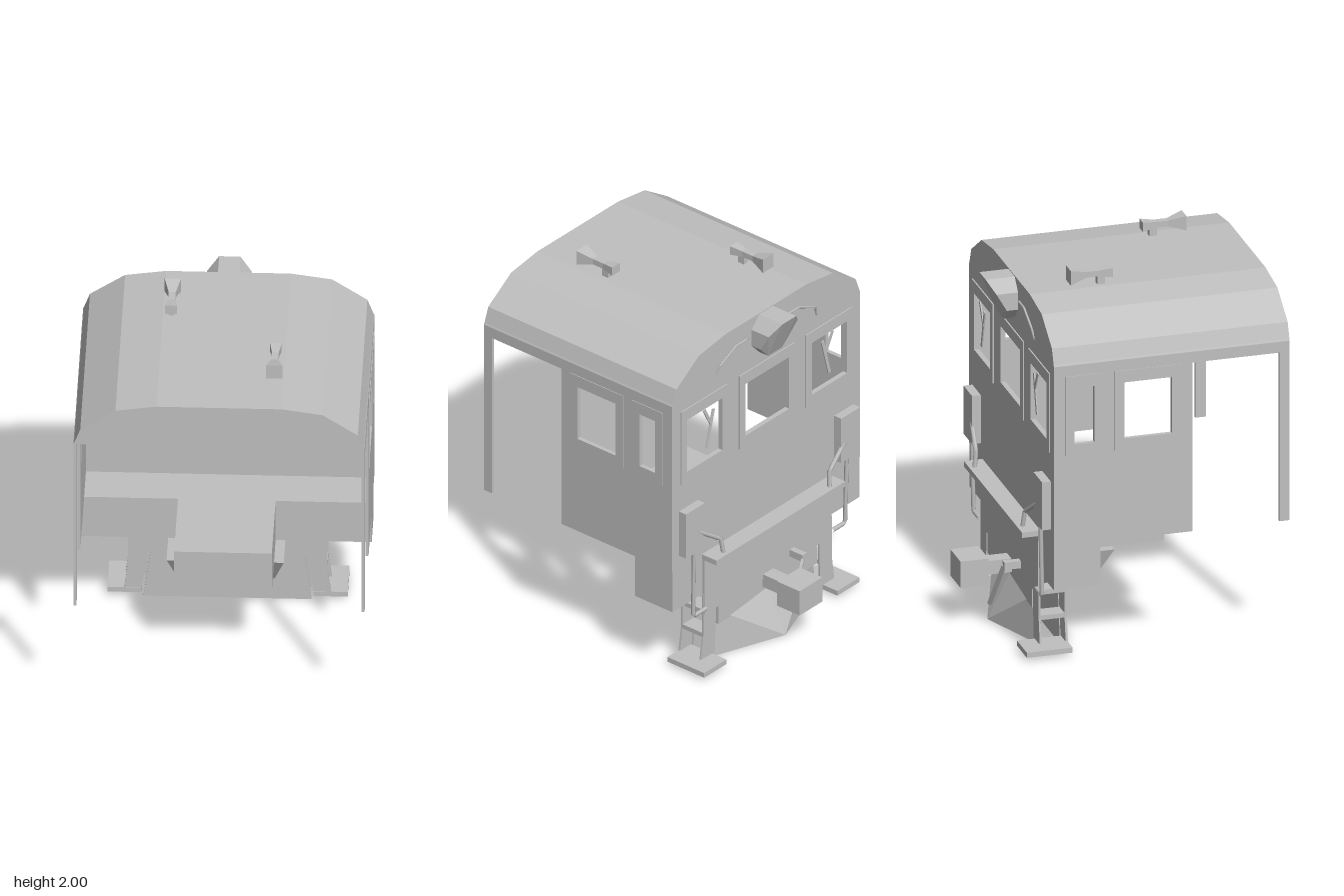
import * as THREE from 'three';
import { ConvexGeometry } from 'three/addons/geometries/ConvexGeometry.js';

export function createModel() {
  const model = new THREE.Group();
  model.name = 'locomotiveCab';
  const grey = new THREE.MeshStandardMaterial({ color: 0xc0c0c0 });
  grey.name = 'plain grey';

  const add = (name, geometry) => {
    const mesh = new THREE.Mesh(geometry, grey);
    mesh.name = name;
    model.add(mesh);
    return mesh;
  };
  // box given by its limits on each axis
  const box = (name, x0, x1, y0, y1, z0, z1) => {
    const g = new THREE.BoxGeometry(Math.abs(x1 - x0), y1 - y0, z1 - z0);
    return add(name, g.translate((x0 + x1) / 2, (y0 + y1) / 2, (z0 + z1) / 2));
  };
  const polygon = (pts) => new THREE.Shape(pts.map(([x, y]) => new THREE.Vector2(x, y)));
  const rect = (x0, x1, y0, y1) => [[x0, y0], [x1, y0], [x1, y1], [x0, y1]];
  // flat plate with holes, lying in the x-y plane from z0 to z0 + depth
  const plate = (pts, holes, depth, z0 = 0) => {
    const shape = polygon(pts);
    holes.forEach((h) => shape.holes.push(polygon(h)));
    return new THREE.ExtrudeGeometry(shape, { depth, bevelEnabled: false }).translate(0, 0, z0);
  };
  // plate drawn in z-y, reaching from x - depth to x
  const sidePlate = (pts, holes, depth, x) => plate(pts, holes, depth).rotateY(-Math.PI / 2).translate(x, 0, 0);
  const convex = (name, pts) => add(name, new ConvexGeometry(pts.map((p) => new THREE.Vector3(...p))));
  // straight square bar between two points
  const bar = (name, a, b, w, d) => {
    const p = new THREE.Vector3(...a), q = new THREE.Vector3(...b);
    const mesh = add(name, new THREE.BoxGeometry(w, p.distanceTo(q), d));
    mesh.position.copy(p).lerp(q, 0.5);
    mesh.quaternion.setFromUnitVectors(new THREE.Vector3(0, 1, 0), q.sub(p).normalize());
  };
  // bent pipe along straight runs
  const pipe = (name, pts, r) => {
    const path = new THREE.CurvePath();
    for (let i = 1; i < pts.length; i++) {
      path.add(new THREE.LineCurve3(new THREE.Vector3(...pts[i - 1]), new THREE.Vector3(...pts[i])));
    }
    add(name, new THREE.TubeGeometry(path, 40, r, 6));
  };

  // roof
  const half = [[0.745, 1.66], [0.74, 1.67], [0.71, 1.75], [0.53, 1.87], [0.32, 1.9]];
  const mirrored = (pts) => [...pts, ...pts.map(([x, y]) => [-x, y]).reverse()];
  add('roof', plate(mirrored(half), [], 1.26, -0.48));

  // end wall with three framed windows
  const endWindows = [[-0.635, -0.355], [-0.175, 0.172], [0.355, 0.635]];
  const opening = ([a, b]) => rect(a, b, 1.225, 1.535);
  const frame = ([a, b], m) => rect(a - m, b + m, 1.165, 1.6);
  add('endWall', plate(rect(-0.73, 0.73, 0.67, 1.66), endWindows.map(opening), 0.015, -0.48));
  endWindows.forEach((w) => add('endWindowFrame', plate(frame(w, 0.045), [opening(w)], 0.027, -0.487)));

  // side walls with doorway and corner post
  const sideWindows = [[-0.105, 0.15], [-0.37, -0.265]];
  const sideOutline = [[-0.48, 0.67], [0.26, 0.67], [0.26, 1.6], [0.725, 1.6], [0.725, 0.67],
    [0.78, 0.67], [0.78, 1.66], [-0.48, 1.66]];
  for (const s of [1, -1]) {
    const outer = s > 0 ? 0.745 : -0.73;
    add('sideWall', sidePlate(sideOutline, sideWindows.map(opening), 0.015, outer));
    sideWindows.forEach((w) =>
      add('sideWindowFrame', sidePlate(frame(w, 0.05), [opening(w)], 0.023, outer + 0.004)));
  }

  // floor boxes and tapered underbody
  box('floorCrossBox', -0.742, 0.742, 0.43, 0.67, -0.48, -0.23);
  box('floorCentreBox', -0.25, 0.25, 0.43, 0.67, -0.23, 0.26);
  convex('underbody', [-1, 1].flatMap((s) => [
    [s * 0.3, 0.43, -0.02], [s * 0.3, 0.43, -0.34], [s * 0.25, 0.275, -0.11], [s * 0.25, 0.275, -0.34]]));

  // headlight: octagon with a raked face
  convex('headlight', [[0.055, 1.895, -0.635], [0.115, 1.83, -0.595], [0.115, 1.735, -0.54], [0.055, 1.67, -0.54]]
    .flatMap(([x, y, z]) => [[x, y, z], [-x, y, z], [x, y, -0.475], [-x, y, -0.475]]));

  // roof horns, square in section and flared at both ends
  const horn = (x, z, dir) => {
    const stations = [[-0.115, 0.03, 0.025], [-0.045, 0.018, 0.016], [0.025, 0.018, 0.016], [0.115, 0.042, 0.04]];
    for (let i = 0; i < 3; i++) {
      convex('horn', [stations[i], stations[i + 1]].flatMap(([d, w, h]) =>
        [[-w, -h], [w, -h], [w, h], [-w, h]].map(([a, b]) => [x + a, 1.96 + b, z + dir * d])));
    }
    const foot = z - dir * 0.055;
    box('hornStand', x - 0.015, x + 0.015, 1.89, 1.95, foot - 0.02, foot + 0.02);
  };
  horn(-0.277, -0.145, -1);
  horn(0.272, 0.41, 1);

  // walkway ledge and pilot plates
  box('walkwayLedge', -0.51, 0.51, 0.64, 0.67, -0.58, -0.48);
  add('endPilotPlate', plate(rect(-0.505, 0.505, 0.31, 0.645), [], 0.012, -0.493));
  const pilotHalf = [[0.43, 0], [0.395, 0.27], [0.408, 0.27], [0.44, 0.05], [0.53, 0.05], [0.51, 0.18], [0.51, 0.43]];
  add('innerPilotPlate', plate(mirrored(pilotHalf), [], 0.012, -0.352));

  // plough
  convex('plough', [[0.43, 0, -0.45], [-0.43, 0, -0.45], [0, 0, -0.61],
    [0.395, 0.28, -0.45], [-0.395, 0.28, -0.45], [0, 0.31, -0.455]]);
  box('ploughBrace', -0.39, 0.39, 0.2, 0.31, -0.49, -0.45);

  // coupler and its lever
  box('couplerShank', -0.04, 0.04, 0.26, 0.335, -0.64, -0.48);
  box('couplerHead', -0.09, 0.09, 0.225, 0.37, -0.78, -0.63);
  box('leverBracket', -0.205, -0.17, 0.345, 0.385, -0.58, -0.485);
  bar('couplerLever', [-0.18, 0.36, -0.575], [-0.04, 0.1, -0.61], 0.02, 0.015);

  for (const s of [1, -1]) {
    // boxes on the end wall
    box('endWallBox', s * 0.54, s * 0.69, 0.745, 1.01, -0.527, -0.48);
    // boarding steps
    add('stepLeg', plate([[0.42, 0.04], [0.53, 0.04], [0.51, 0.18], [0.51, 0.43], [0.41, 0.43], [0.41, 0.25]]
      .map(([x, y]) => [s * x, y]), [], 0.01, -0.49));
    for (const y of [0.175, 0.315]) box('stepTread', s * 0.42, s * 0.51, y, y + 0.025, -0.485, -0.345);
    box('footStep', s * 0.44, s * 0.615, 0.02, 0.048, -0.585, -0.34);
    // handrails
    pipe('handrail', [[s * 0.5, 0.35, -0.5], [s * 0.602, 0.35, -0.5], [s * 0.606, 0.82, -0.51],
      [s * 0.59, 0.86, -0.515], [s * 0.43, 0.75, -0.54], [s * 0.42, 0.66, -0.55]], 0.012);
    // windscreen wipers
    bar('wiperBlade', [s * 0.487, 1.3, -0.492], [s * 0.432, 1.51, -0.492], 0.02, 0.006);
    bar('wiperArm', [s * 0.452, 1.43, -0.494], [s * 0.51, 1.54, -0.494], 0.018, 0.006);
    // thin grab irons beside the headlight
    pipe('grabIron', [[s * 0.15, 1.79, -0.478], [s * 0.16, 1.8, -0.49], [s * 0.25, 1.8, -0.49],
      [s * 0.38, 1.74, -0.49], [s * 0.4, 1.68, -0.478]], 0.006);
  }
  return model;
}
